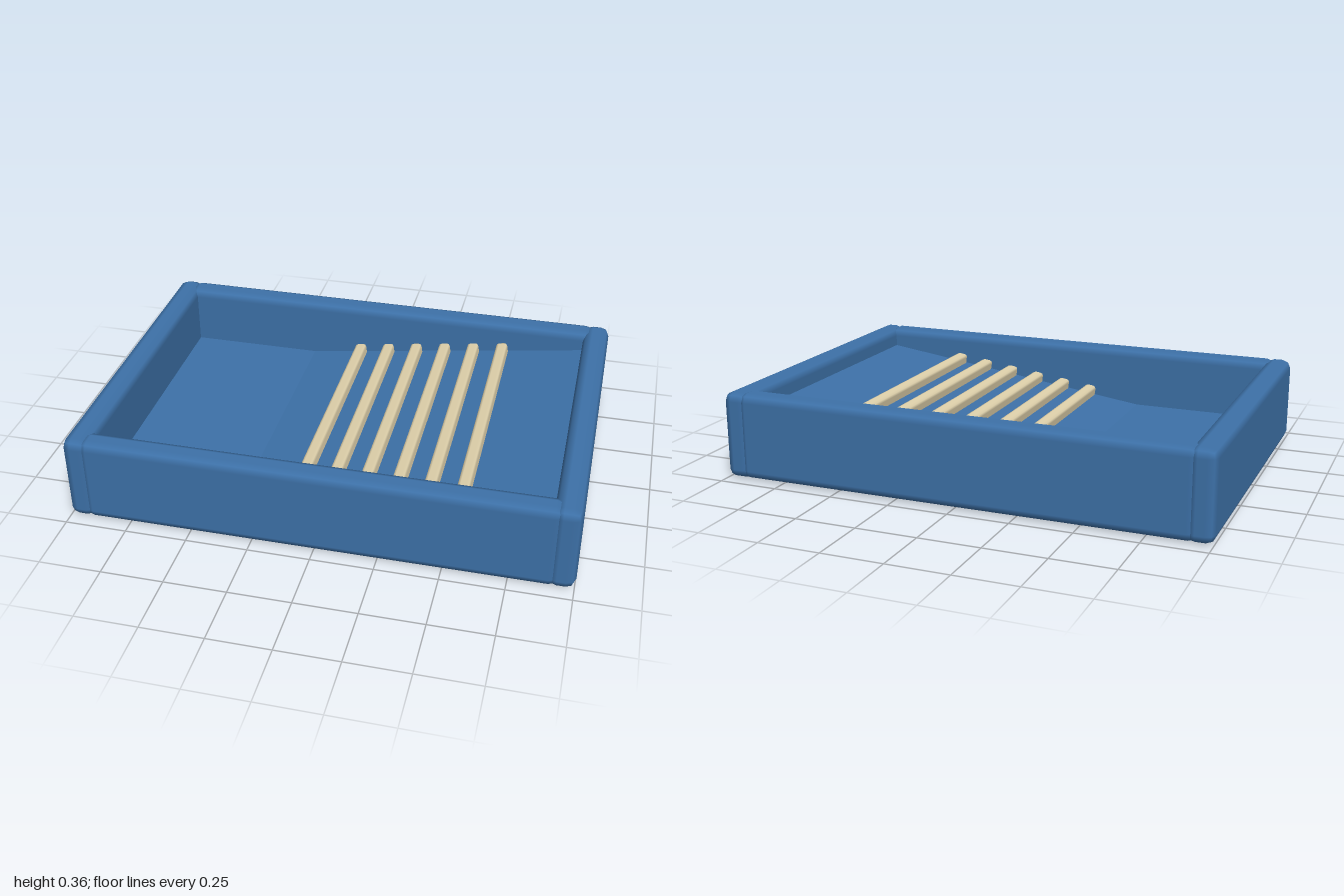
import * as THREE from 'three';
import { RoundedBoxGeometry } from 'three/addons/geometries/RoundedBoxGeometry.js';

const blue = new THREE.MeshStandardMaterial({ name: 'blue tray', color: 0x3d71a8 });
const cream = new THREE.MeshStandardMaterial({ name: 'cream slat', color: 0xdfd1ab });

// Softly bevelled box; the one-step rounding pulls faces in, so sizes are padded to match
function bevelBox(w, h, d, r) {
  const pad = 2 * r * (1 - 3 / Math.sqrt(11));
  return new RoundedBoxGeometry(w + pad, h + pad, d + pad, 1, r);
}

function addPart(group, name, geometry, material, x, y, z) {
  const mesh = new THREE.Mesh(geometry, material);
  mesh.name = name;
  mesh.position.set(x, y, z);
  group.add(mesh);
  return mesh;
}

export function createModel() {
  const tray = new THREE.Group();
  tray.name = 'tray';
  const height = 0.35, slope = 0.14, rampStart = -0.33, floorY = 0.1;
  const rampY = (x) => floorY + (x - rampStart) * slope;

  // Flat base
  addPart(tray, 'base', new THREE.BoxGeometry(1.94, floorY, 1.34), blue, 0, floorY / 2, 0);

  // Four walls: the sides run full depth, front and back fit between them
  for (const s of [1, -1]) {
    addPart(tray, s > 0 ? 'leftWall' : 'rightWall',
      bevelBox(0.1, height, 1.4, 0.036), blue, s * 0.95, height / 2, 0);
    addPart(tray, s > 0 ? 'frontWall' : 'backWall',
      bevelBox(1.87, height, 0.1, 0.036), blue, 0, height / 2, s * 0.65);
  }

  // Sloping floor rising towards the left wall
  const profile = new THREE.Shape();
  profile.moveTo(rampStart, floorY);
  profile.lineTo(rampStart, 0.05);
  profile.lineTo(0.92, 0.05);
  profile.lineTo(0.92, rampY(0.92));
  profile.closePath();
  const ramp = new THREE.ExtrudeGeometry(profile, { depth: 1.24, bevelEnabled: false });
  addPart(tray, 'ramp', ramp, blue, 0, 0, -0.62);

  // Six slats lying across the ramp, tilted with it
  const slat = bevelBox(0.048, 0.06, 1.2, 0.014);
  for (let i = 0; i < 6; i++) {
    const x = -0.105 + i * 0.13;
    addPart(tray, 'slat', slat, cream, x, rampY(x) + 0.01, 0).rotation.z = Math.atan(slope);
  }
  return tray;
}
